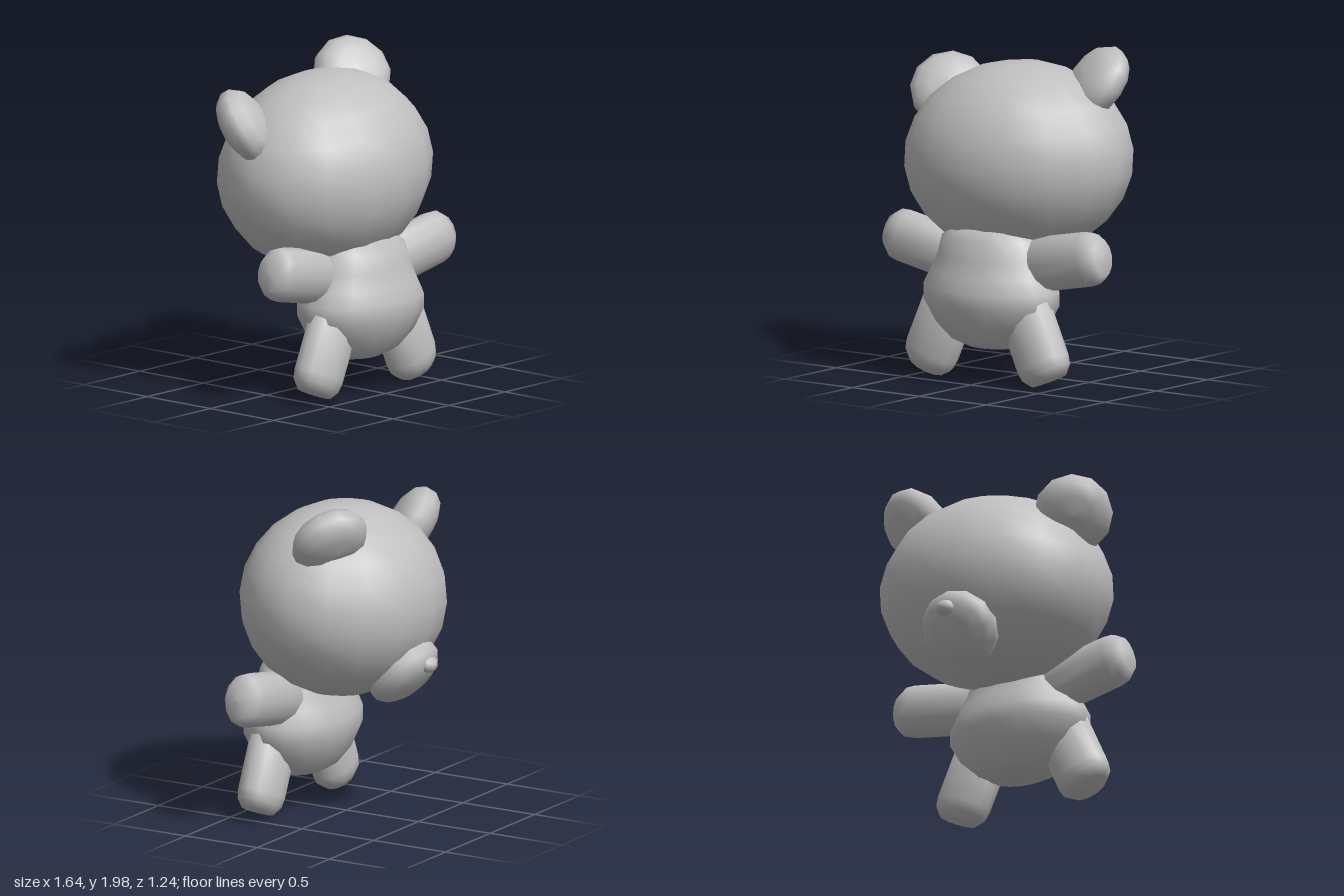
import * as THREE from 'three';

const Y = new THREE.Vector3(0, 1, 0);

export function createModel() {
  const model = new THREE.Group();
  const grey = new THREE.MeshStandardMaterial({ color: 0xc0c0c0 });
  grey.name = 'plush grey';

  const add = (name, geometry, position) => {
    const mesh = new THREE.Mesh(geometry, grey);
    mesh.name = name;
    mesh.position.set(...position);
    model.add(mesh);
    return mesh;
  };

  const lathe = (points, sides) =>
    new THREE.LatheGeometry(points.map(([r, y]) => new THREE.Vector2(r, y)), sides);

  // Thick rounded disc whose short axis points along the given normal
  const padProfile = [[0, -1], [0.5, -0.93], [0.83, -0.65], [1, -0.22],
    [1, 0.22], [0.83, 0.65], [0.5, 0.93], [0, 1]];
  const pad = (name, position, radius, half, normal) => {
    const mesh = add(name, lathe(padProfile, 12), position);
    mesh.scale.set(radius, half, radius);
    mesh.quaternion.setFromUnitVectors(Y, new THREE.Vector3(...normal).normalize());
  };

  // Flattened limb with a blunt rounded end, running from start to tip
  const limb = (name, start, tip, width, depth) => {
    const a = new THREE.Vector3(...start);
    const dir = new THREE.Vector3(...tip).sub(a);
    const length = dir.length();
    const profile = [[0, 0], [1, 0.01], [1, length - 0.12], [0.94, length - 0.06],
      [0.68, length - 0.008], [0, length]];
    const mesh = add(name, lathe(profile, 12), start);
    mesh.scale.set(width, 1, depth);
    mesh.rotation.z = Math.atan2(-dir.x, dir.y);
  };

  // Wide head, rolled and turned slightly to one side
  const head = add('head', new THREE.SphereGeometry(1, 16, 12), [-0.005, 1.31, 0.025]);
  head.scale.set(0.72, 0.585, 0.595);
  head.rotation.set(0, 0.08, 0.12);

  // Ears
  pad('leftEar', [0.44, 1.785, -0.155], 0.235, 0.125, [-0.37, 0.6, 0.72]);
  pad('rightEar', [-0.6, 1.645, -0.08], 0.235, 0.125, [0.46, 0.53, 0.71]);

  // Muzzle and nose
  pad('muzzle', [-0.01, 0.915, -0.395], 0.235, 0.125, [0, -0.68, -0.73]);
  const nose = add('nose', new THREE.SphereGeometry(1, 10, 8), [-0.01, 0.98, -0.56]);
  nose.scale.set(0.065, 0.05, 0.06);

  // Pear-shaped body
  const body = add('body', lathe([[0, 0.21], [0.15, 0.215], [0.27, 0.26], [0.38, 0.36],
    [0.45, 0.48], [0.45, 0.57], [0.405, 0.66], [0.355, 0.76], [0.325, 0.87],
    [0.23, 0.95], [0, 0.96]], 16), [0, 0, 0.3]);
  body.scale.z = 0.69;

  // Arms and legs
  limb('leftArm', [0.2, 0.71, 0.26], [0.81, 0.825, 0.26], 0.164, 0.128);
  limb('rightArm', [-0.2, 0.71, 0.26], [-0.78, 0.825, 0.26], 0.164, 0.128);
  for (const [name, s] of [['leftLeg', 1], ['rightLeg', -1]]) {
    limb(name, [s * 0.26, 0.5, 0.335], [s * 0.46, 0.05, 0.335], 0.177, 0.13);
  }

  return model;
}
